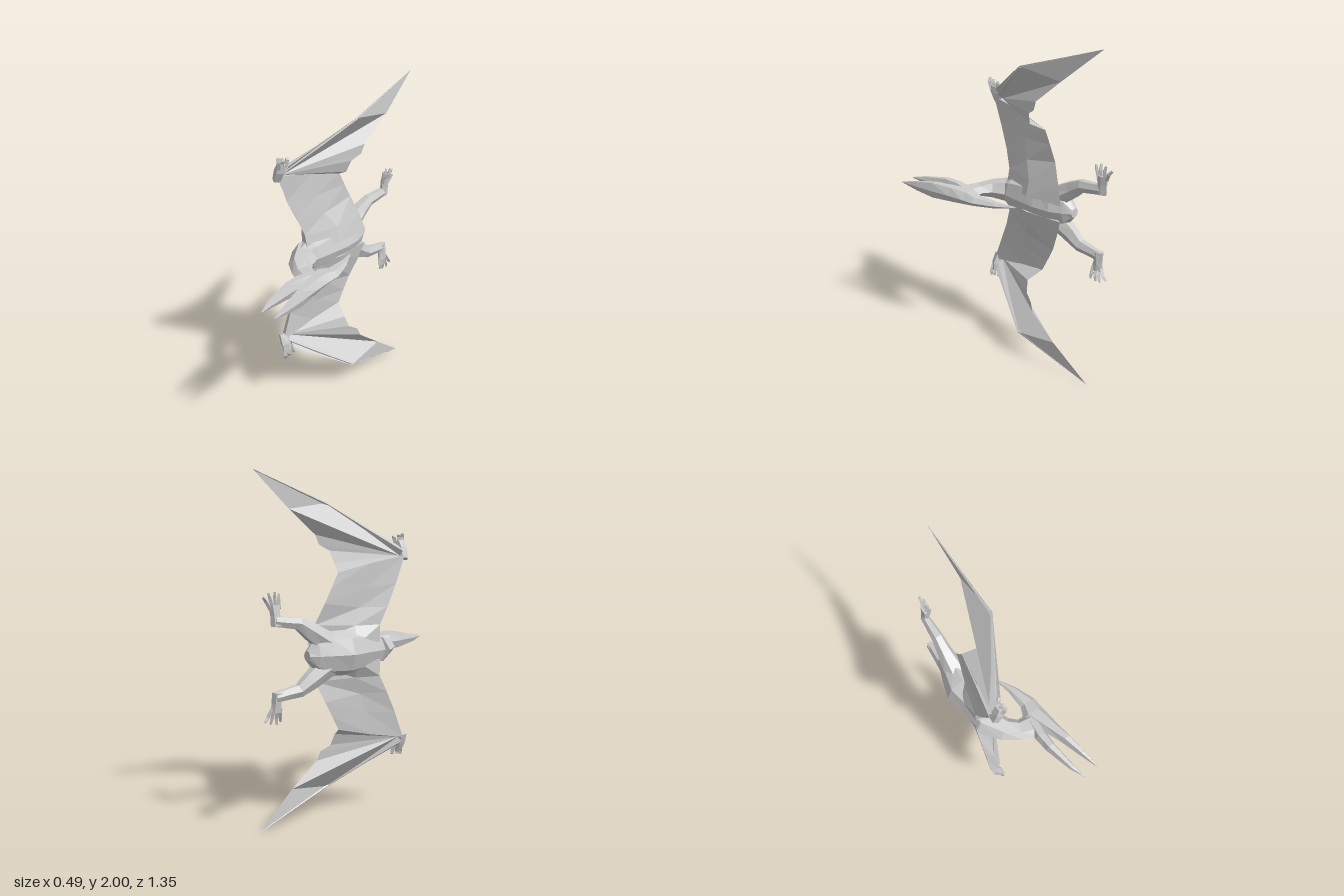
import * as THREE from 'three';

const V = (p) => new THREE.Vector3(p[0], p[1], p[2]);
const material = new THREE.MeshStandardMaterial({ color: 0xcccccc, flatShading: true, side: THREE.DoubleSide });

// Geometry from a list of triangles
function fromTriangles(tris) {
  const geo = new THREE.BufferGeometry();
  geo.setAttribute('position', new THREE.Float32BufferAttribute(tris.flat().flatMap((p) => [p.x, p.y, p.z]), 3));
  geo.computeVertexNormals();
  return geo;
}

// Skin over closed rings of equal length, capped at both ends
function loft(rings) {
  const tris = [];
  const n = rings[0].length;
  const middle = (r) => r.reduce((s, p) => s.add(p), new THREE.Vector3()).divideScalar(n);
  const first = rings[0], last = rings[rings.length - 1];
  const c0 = middle(first), c1 = middle(last);
  for (let j = 0; j < n; j++) {
    const k = (j + 1) % n;
    for (let i = 0; i < rings.length - 1; i++) {
      const a = rings[i], b = rings[i + 1];
      tris.push([a[j], a[k], b[k]], [a[j], b[k], b[j]]);
    }
    tris.push([c0, first[k], first[j]], [c1, last[j], last[k]]);
  }
  return fromTriangles(tris);
}

// Limb along a path of [x, y, z, radius towards ref, radius across]
function limb(path, sides = 6, ref = [1, 0, 0]) {
  return loft(path.map((s, i) => {
    const t = V(path[Math.min(i + 1, path.length - 1)]).sub(V(path[Math.max(i - 1, 0)])).normalize();
    const u = V(ref).addScaledVector(t, -V(ref).dot(t)).normalize();
    const v = t.clone().cross(u);
    return Array.from({ length: sides }, (_, k) => {
      const a = (k / sides) * Math.PI * 2;
      return V(s).addScaledVector(u, s[3] * Math.cos(a)).addScaledVector(v, (s[4] ?? s[3]) * Math.sin(a));
    });
  }));
}

// Loft along z of [z, belly x, back x, half width], rings kept upright
function hull(stations, sides) {
  return loft(stations.map(([z, lo, hi, w]) => Array.from({ length: sides }, (_, k) => {
    const a = (k / sides) * Math.PI * 2;
    return new THREE.Vector3((lo + hi) / 2 + ((hi - lo) / 2) * Math.cos(a), 1 + w * Math.sin(a), z);
  })));
}

// Reflection across the body's plane y = 1
function mirrored(geo) {
  const g = geo.clone();
  const p = g.attributes.position;
  for (let i = 0; i < p.count; i += 3) {
    const c = [0, 2, 1].map((k) => [p.getX(i + k), 2 - p.getY(i + k), p.getZ(i + k)]);
    c.forEach((q, k) => p.setXYZ(i + k, ...q));
  }
  g.computeVertexNormals();
  return g;
}

export function createModel() {
  const model = new THREE.Group();
  model.name = 'flyingReptile';
  const add = (name, geo) => {
    const mesh = new THREE.Mesh(geo, material);
    mesh.name = name;
    model.add(mesh);
  };
  const pair = (name, geo) => {
    add(name + 'Upper', geo);
    add(name + 'Lower', mirrored(geo));
  };

  // Torso, with its back towards +x
  add('torso', hull([
    [-0.41, -0.15, -0.09, 0.03], [-0.36, -0.18, -0.06, 0.09], [-0.28, -0.21, -0.03, 0.125],
    [-0.17, -0.245, -0.02, 0.13], [-0.05, -0.22, -0.03, 0.12], [0.05, -0.205, -0.04, 0.1],
    [0.14, -0.18, -0.08, 0.05],
  ], 8));

  // Neck
  add('neck', limb([
    [-0.14, 1, 0.06, 0.09, 0.08], [-0.07, 1, 0.18, 0.07, 0.055],
    [0, 1, 0.23, 0.062, 0.036], [0.09, 1, 0.25, 0.08, 0.04],
  ], 6, [0, 0, 1]));

  // Head crest running into the upper jaw
  add('crestAndUpperJaw', hull([
    [-0.12, 0.05, 0.054, 0.004], [0, 0.075, 0.13, 0.02], [0.12, 0.08, 0.18, 0.03],
    [0.19, 0.05, 0.186, 0.045], [0.3, 0.1, 0.198, 0.052], [0.43, 0.155, 0.218, 0.056],
    [0.55, 0.195, 0.232, 0.034], [0.665, 0.237, 0.24, 0.003],
  ], 6));
  add('lowerJaw', hull([
    [0.22, 0.05, 0.13, 0.04], [0.33, 0.04, 0.115, 0.05], [0.42, 0.052, 0.115, 0.052],
    [0.59, 0.1, 0.134, 0.024], [0.672, 0.143, 0.147, 0.003],
  ], 6));

  // Inner wing: leading edge below and above, middle top, trailing edge, middle bottom
  const wing = [
    [[-0.19, 1.05, 0.05], [-0.1, 1.05, 0.09], [-0.03, 1.05, -0.12], [-0.05, 1.05, -0.36], [-0.2, 1.05, -0.12]],
    [[-0.19, 1.15, 0.05], [-0.12, 1.14, 0.09], [-0.055, 1.14, -0.12], [-0.07, 1.16, -0.325], [-0.15, 1.15, -0.1]],
    [[-0.197, 1.25, 0.1], [-0.14, 1.25, 0.13], [-0.105, 1.24, -0.06], [-0.1, 1.28, -0.275], [-0.14, 1.25, -0.06]],
    [[-0.2, 1.38, 0.16], [-0.16, 1.38, 0.19], [-0.13, 1.36, -0.02], [-0.107, 1.37, -0.23], [-0.15, 1.36, -0.02]],
    [[-0.205, 1.54, 0.22], [-0.16, 1.55, 0.25], [-0.145, 1.5, 0.01], [-0.11, 1.45, -0.19], [-0.155, 1.5, 0.01]],
  ];
  pair('innerWing', loft(wing.map((r) => r.map(V))));

  // Outer wing membrane, fanned from the wrist
  const wrist = V([-0.18, 1.54, 0.2]);
  const knuckle = V([0.06, 1.84, -0.14]);
  const edge = [
    [-0.11, 1.45, -0.19], [-0.02, 1.5, -0.15], [0.005, 1.57, -0.165], [0.03, 1.605, -0.22],
    [0.038, 1.66, -0.24], [0.045, 1.8, -0.41],
  ].map(V);
  const fan = edge.slice(1).map((p, i) => [wrist, p, edge[i]]);
  fan.push([wrist, knuckle, edge[5]], [edge[5], knuckle, V([0.02, 2, -0.65])], [wrist, V([-0.12, 1.61, 0.2]), knuckle]);
  pair('outerWing', fromTriangles(fan));

  // Long finger bone stiffening the outer wing
  pair('wingFinger', limb([
    [-0.18, 1.56, 0.22, 0.025], [-0.06, 1.69, 0.05, 0.014], [0.055, 1.83, -0.14, 0.007], [0.02, 1.998, -0.645, 0.002],
  ], 4));

  // Hand and claws at the wrist
  pair('hand', limb([[-0.185, 1.52, 0.23, 0.025, 0.035], [-0.16, 1.58, 0.235, 0.03, 0.035], [-0.145, 1.625, 0.23, 0.022, 0.03]], 5));
  [[0.255, 0.262], [0.23, 0.235], [0.208, 0.197]].forEach(([z0, z1], i) =>
    pair('claw' + (i + 1), limb([
      [-0.145, 1.6, z0, 0.016, 0.012], [-0.135, 1.645, z1, 0.016, 0.012], [-0.14, 1.668 - 0.008 * i, z1 - 0.003, 0.012, 0.008],
    ], 4)));

  // Hind legs, feet and toes
  pair('hindLeg', limb([
    [-0.12, 1.06, -0.27, 0.07, 0.07], [-0.12, 1.14, -0.39, 0.045, 0.055], [-0.115, 1.185, -0.46, 0.036, 0.04],
    [-0.112, 1.195, -0.54, 0.03, 0.034], [-0.11, 1.205, -0.61, 0.024, 0.032],
  ], 6));
  pair('foot', limb([[-0.11, 1.18, -0.595, 0.025, 0.035], [-0.105, 1.24, -0.6, 0.022, 0.03], [-0.1, 1.29, -0.6, 0.02, 0.04]], 5));
  [[-0.573, -0.565, 1.35], [-0.592, -0.595, 1.36], [-0.612, -0.63, 1.355], [-0.628, -0.668, 1.335]].forEach(([z0, z1, y], i) =>
    pair('toe' + (i + 1), limb([
      [-0.1, 1.27, z0, 0.014, 0.011], [-0.088, (1.27 + y) / 2 + 0.01, (z0 + z1) / 2, 0.014, 0.011], [-0.085 - 0.008 * (i % 2), y, z1, 0.008, 0.007],
    ], 4)));

  return model;
}
